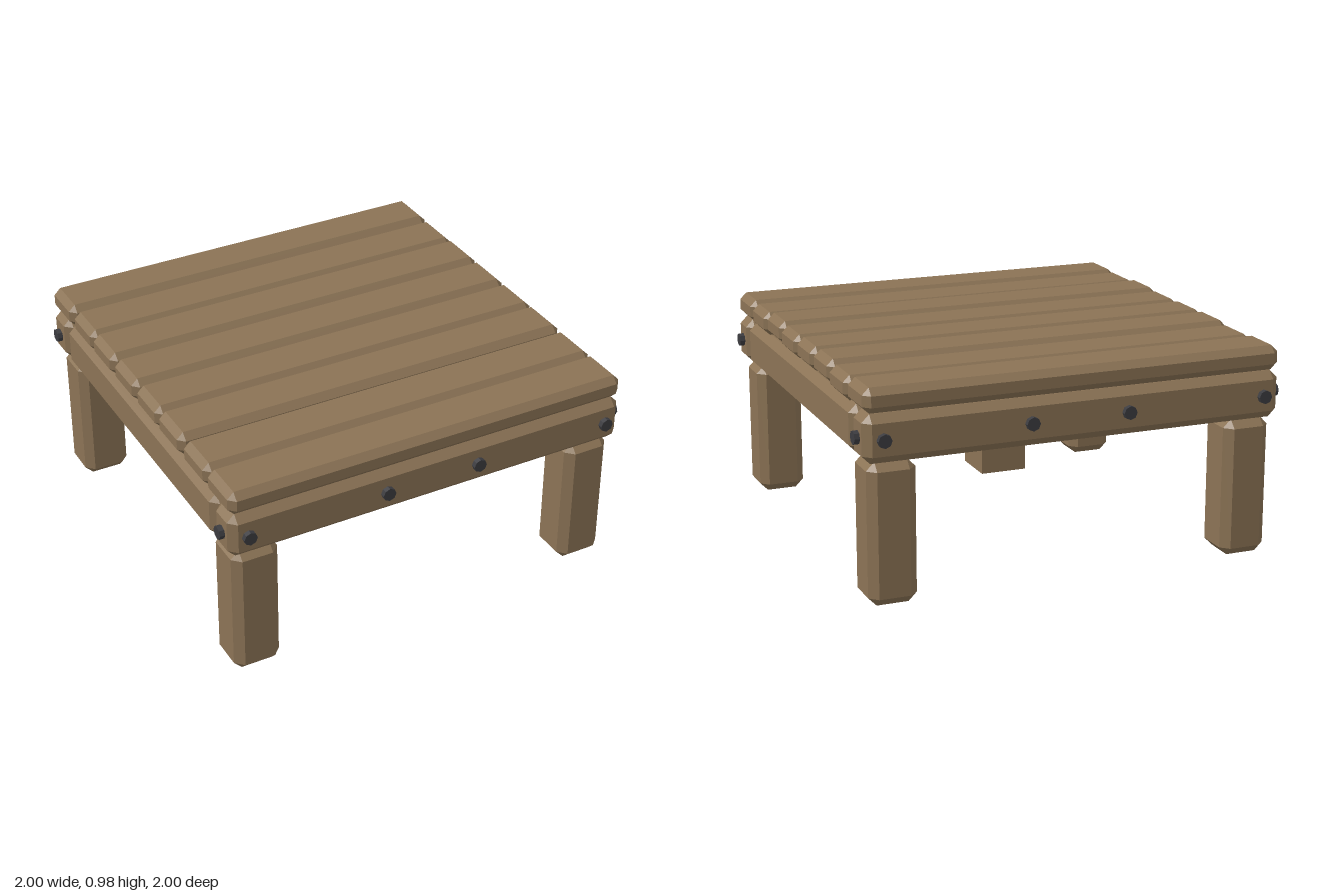
import * as THREE from 'three';
import { ConvexGeometry } from 'three/addons/geometries/ConvexGeometry.js';

// Box with every edge and corner cut at 45 degrees
function chamferBox(w, h, d, c) {
  const pts = [];
  for (const sx of [-1, 1]) for (const sy of [-1, 1]) for (const sz of [-1, 1]) {
    const x = w / 2, y = h / 2, z = d / 2;
    pts.push(
      new THREE.Vector3(sx * x, sy * (y - c), sz * (z - c)),
      new THREE.Vector3(sx * (x - c), sy * y, sz * (z - c)),
      new THREE.Vector3(sx * (x - c), sy * (y - c), sz * z));
  }
  return new ConvexGeometry(pts);
}

export function createModel() {
  const group = new THREE.Group();
  const wood = new THREE.MeshStandardMaterial({ color: 0x8b7355 });
  wood.name = 'weathered wood';
  const iron = new THREE.MeshStandardMaterial({ color: 0x3c3c40 });
  iron.name = 'dark iron';

  const add = (name, geometry, material, x, y, z) => {
    const mesh = new THREE.Mesh(geometry, material);
    mesh.name = name;
    mesh.position.set(x, y, z);
    group.add(mesh);
    return mesh;
  };

  // Deck planks, with slightly uneven heights
  const tops = [0.975, 0.968, 0.978, 0.976, 0.974, 0.98, 0.97, 0.975];
  const shifts = [0, 0.003, -0.002, 0, 0.002, -0.002, 0.003, 0];
  const pitch = 1.952 / 8;
  tops.forEach((top, i) => {
    const z = -0.976 + pitch * (i + 0.5);
    add('plank', chamferBox(1.945, 0.112, pitch - 0.002, 0.031), wood, shifts[i], top - 0.056, z);
  });

  // Frame rails
  for (const s of [-1, 1]) {
    add('longRail', chamferBox(1.952, 0.216, 0.17, 0.036), wood, 0, 0.752, s * 0.891);
    add('sideRail', chamferBox(0.17, 0.216, 1.612, 0.036), wood, s * 0.891, 0.752, 0);
  }

  // Middle beam and its short post
  add('middleBeam', new THREE.BoxGeometry(1.62, 0.2, 0.22), wood, 0, 0.755, 0);
  add('middlePost', new THREE.BoxGeometry(0.22, 0.45, 0.22), wood, 0, 0.475, 0);

  // Corner legs
  for (const sx of [-1, 1]) for (const sz of [-1, 1]) {
    add('leg', chamferBox(0.22, 0.642, 0.22, 0.038), wood, sx * 0.84, 0.321, sz * 0.84);
  }

  // Bolt heads on the rails and rail ends
  const bolt = new THREE.CylinderGeometry(0.031, 0.031, 0.05, 8).toNonIndexed();
  bolt.computeVertexNormals();
  for (const s of [-1, 1]) {
    for (const x of [-0.893, -0.23, 0.225, 0.891]) {
      add('railBolt', bolt, iron, x, 0.752, s * 0.975).rotation.x = Math.PI / 2;
    }
    for (const z of [-0.893, 0.893]) {
      add('endBolt', bolt, iron, s * 0.975, 0.752, z).rotation.z = Math.PI / 2;
    }
  }
  return group;
}
